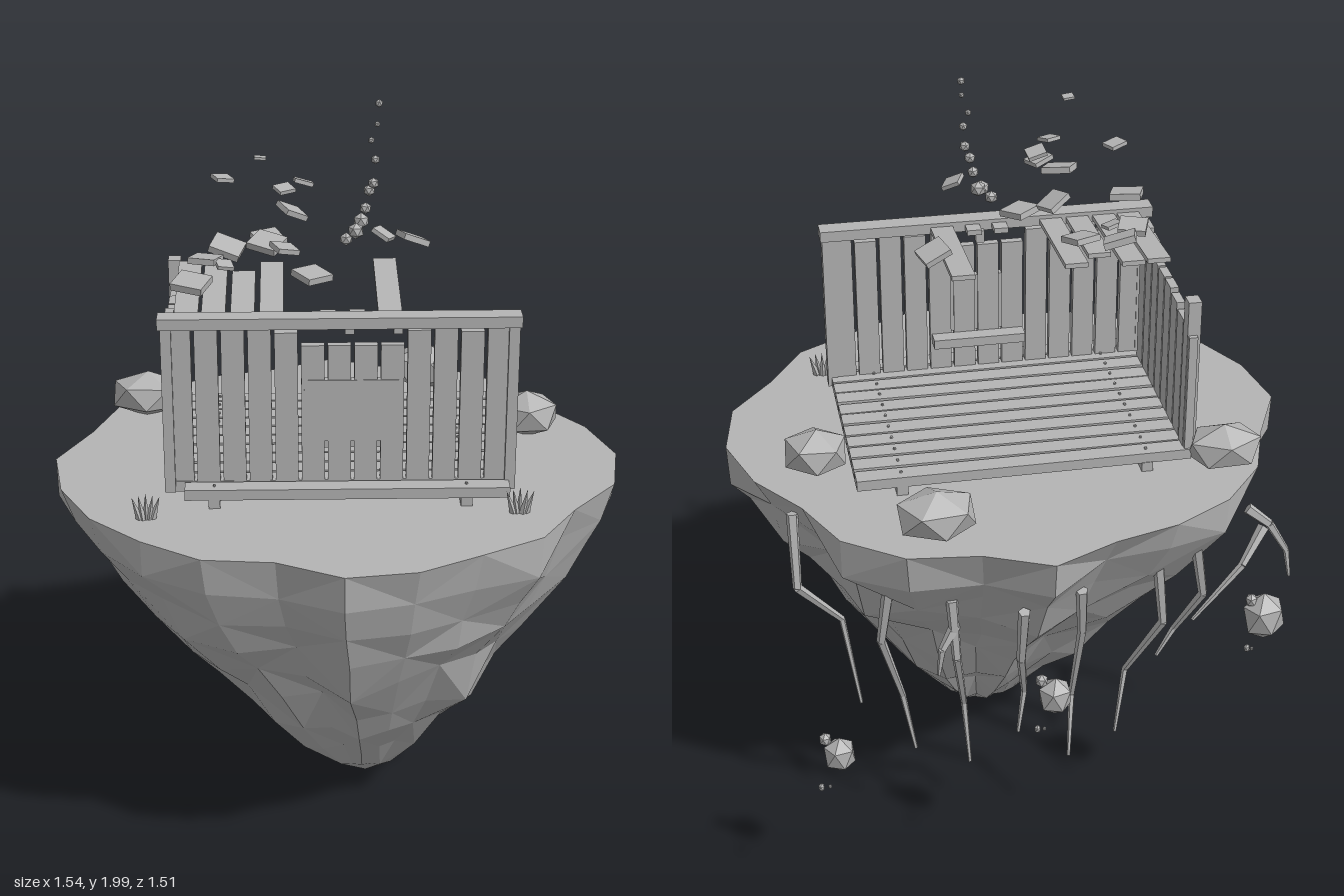
import * as THREE from 'three';

const stone = new THREE.MeshStandardMaterial({ color: 0xb4b4b4, flatShading: true });
stone.name = 'plain grey';

let seed = 7;
const rnd = (a = -1, b = 1) => {
  seed = (seed * 16807) % 2147483647;
  return a + (b - a) * (seed / 2147483647);
};

function add(parent, name, geo, x = 0, y = 0, z = 0, rx = 0, ry = 0, rz = 0) {
  const m = new THREE.Mesh(geo, stone);
  m.name = name;
  m.position.set(x, y, z);
  m.rotation.set(rx, ry, rz);
  parent.add(m);
  return m;
}
// Box given by its minimum and maximum corners
function block(parent, name, x0, x1, y0, y1, z0, z1) {
  return add(parent, name, new THREE.BoxGeometry(x1 - x0, y1 - y0, z1 - z0),
    (x0 + x1) / 2, (y0 + y1) / 2, (z0 + z1) / 2);
}
function group(parent, name) {
  const g = new THREE.Group();
  g.name = name;
  parent.add(g);
  return g;
}

// Island: jagged rings shrinking down to an off-centre tip
function islandGeometry() {
  const rim = [.77, .764, .707, .726, .702, .723, .725, .66, .715, .726, .754, .769,
    .775, .713, .725, .718, .694, .672, .73, .675, .727, .732, .69, .734];
  const n = rim.length;
  // height, scale, centre x, centre z, jitter
  const levels = [
    [.988, 1, 0, .02, 0], [.885, .965, 0, .025, .02], [.79, .89, .005, .035, .025],
    [.68, .8, .015, .05, .03], [.56, .67, .02, .06, .03], [.44, .55, .04, .065, .03],
    [.32, .43, .05, .065, .025], [.2, .287, .06, .07, .018], [.09, .16, .065, .07, .01]];
  const ridge = rim.map((_, i) => (i % 3 === 0 ? .022 : -.011) + rnd(-.01, .01));
  const rings = levels.map(([y, s, cx, cz, j]) => rim.map((r, i) => {
    const a = i / n * Math.PI * 2;
    const q = Math.min(r * s + (j ? ridge[i] * s + rnd() * j * .6 : 0), r - Math.hypot(cx, cz - .02) * .5);
    return [cx + Math.cos(a) * q, y + rnd() * j, cz + Math.sin(a) * q];
  }));
  const pos = [], tip = [.08, .005, .07], top = [0, .988, 0];
  const tri = (a, b, c) => pos.push(...a, ...b, ...c);
  for (let i = 0; i < n; i++) {
    const k = (i + 1) % n;
    tri(top, rings[0][k], rings[0][i]);
    for (let j = 0; j < rings.length - 1; j++) {
      const a = rings[j][i], b = rings[j][k], c = rings[j + 1][i], d = rings[j + 1][k];
      if ((i + j) % 2) { tri(a, b, c); tri(b, d, c); }
      else { tri(a, b, d); tri(a, d, c); }
    }
    tri(rings[rings.length - 1][i], rings[rings.length - 1][k], tip);
  }
  const g = new THREE.BufferGeometry();
  g.setAttribute('position', new THREE.Float32BufferAttribute(pos, 3));
  g.computeVertexNormals();
  return g;
}

function rock(parent, name, x, y, z, sx, sy, sz) {
  add(parent, name, new THREE.IcosahedronGeometry(1, 0).rotateZ(.5).rotateY(rnd(0, 3)).scale(sx, sy, sz), x, y, z);
}

// Root: tapered five-sided segments along a bent path
function root(parent, pts, r) {
  const up = new THREE.Vector3(0, 1, 0), n = pts.length - 1;
  for (let i = 0; i < n; i++) {
    const a = new THREE.Vector3(...pts[i]), b = new THREE.Vector3(...pts[i + 1]);
    const d = a.clone().sub(b);
    const m = add(parent, 'rootSegment', new THREE.CylinderGeometry(r * (1 - i / n * .7), r * (1 - (i + 1) / n * .7), d.length(), 5));
    m.position.copy(a).add(b).multiplyScalar(.5);
    m.quaternion.setFromUnitVectors(up, d.normalize());
  }
}

export function createModel() {
  const model = new THREE.Group();
  model.name = 'floatingIslandRuin';
  add(model, 'island', islandGeometry());

  // Deck on two joists
  const deck = group(model, 'deck');
  for (const x of [-.33, .33]) block(deck, 'joist', x - .015, x + .015, .98, 1.015, -.31, .345);
  for (let i = 0; i < 11; i++) {
    const z = .322 - i * .0605, w = i ? .45 : .425;
    const p = block(deck, 'deckPlank', -w, w, 1.013, 1.042, z - .026, z + .026);
    p.position.x = i ? 0 : .018;
    p.rotation.y = rnd() * .006;
    for (const x of [-.33, .33]) add(deck, 'nail', new THREE.CylinderGeometry(.004, .004, .006, 6), x, 1.044, z);
  }

  // Front wall with a short-boarded middle and a panel set into it
  const front = group(model, 'frontWall');
  block(front, 'topBeam', -.467, .465, 1.47, 1.5, .25, .305);
  for (const s of [-1, 1]) block(front, 'cornerPost', s * .446 - .014, s * .446 + .014, 1.015, 1.485, .262, .3);
  const tops = [1.47, 1.47, 1.465, 1.47, 1.455, 1.42, 1.42, 1.42, 1.42, 1.46, 1.47, 1.455, 1.47];
  tops.forEach((t, i) => {
    const x = -.413 + i * .0685;
    block(front, 'wallBoard', x - .03, x + .03, 1.04, t, .265, .288);
  });
  block(front, 'panel', -.093, .152, 1.155, 1.325, .27, .291);
  block(front, 'innerRail', -.1, .16, 1.125, 1.152, .222, .265);
  for (const x of [.025, .15]) block(front, 'rafterStub', x - .012, x + .012, 1.44, 1.475, .235, .262);

  // Side wall
  const side = group(model, 'sideWall');
  [1.47, 1.46, 1.42, 1.42, 1.42, 1.41, 1.395, 1.375].forEach((t, i) => {
    const z = .208 - i * .0685;
    block(side, 'wallBoard', -.455, -.432, 1.04, t, z - .03, z + .03);
  });
  block(side, 'endPost', -.465, -.43, 1.015, 1.47, -.288, -.245);

  // Remaining roof planks rising gently to the back
  const roof = group(model, 'roof');
  [[-.395, .37], [-.325, .375], [-.25, .3], [-.175, .36], [.13, .38]].forEach(([x, l]) =>
    add(roof, 'roofPlank', new THREE.BoxGeometry(.062, .013, l).translate(0, 0, -l / 2), x, 1.482, .262, .075, 0, 0));
  for (const x of [-.03, .045]) block(roof, 'brokenStub', x - .02, x + .02, 1.475, 1.49, .21, .26);

  // Loose shingles drifting upward: x, y, z, size
  const drift = group(model, 'driftingShingles');
  [[-.38, 1.565, .21, .085], [-.295, 1.565, -.075, .085], [-.35, 1.56, .01, .075],
    [-.3, 1.555, .04, .045], [-.185, 1.585, -.09, .075], [-.07, 1.565, .155, .08],
    [.205, 1.58, -.095, .075], [-.185, 1.665, .19, .08], [-.14, 1.67, .25, .06],
    [-.12, 1.675, -.045, .068], [.115, 1.67, .14, .052], [-.3, 1.79, .035, .048],
    [-.14, 1.785, .115, .045], [-.09, 1.78, .04, .05], [-.2, 1.88, .16, .03]]
    .forEach(([x, y, z, s]) => add(drift, 'shingle', new THREE.BoxGeometry(s, s * .22, s * .95),
      x, y, z, rnd() * .3, rnd() * .7, -.25 + rnd() * .3));

  // Rising trail of chips
  const trail = group(model, 'risingChips');
  [[.02, 1.64, .09, .018], [.045, 1.665, .1, .022], [.06, 1.68, .06, .022], [.07, 1.72, .08, .016],
    [.08, 1.765, .07, .016], [.09, 1.79, .09, .015], [.095, 1.85, .08, .012], [.085, 1.895, .06, .009],
    [.1, 1.94, .07, .008], [.105, 1.988, .045, .011]]
    .forEach(([x, y, z, r]) => rock(trail, 'chip', x, y, z, r, r, r));

  // Boulders on the ground
  rock(model, 'boulder', .54, 1.045, -.14, .094, .068, .085);
  rock(model, 'boulder', .27, 1.045, -.505, .114, .07, .09);
  rock(model, 'boulder', -.54, 1.045, -.31, .112, .068, .08);

  // Floating rocks with crumbs around them
  const floating = group(model, 'floatingRocks');
  [[.56, .445, -.67, .045], [-.565, .73, -.66, .06], [0, .585, -.71, .048]].forEach(([x, y, z, r]) => {
    rock(floating, 'floatingRock', x, y, z, r, r * 1.2, r * .85);
    rock(floating, 'crumb', x + .035, y + .05, z + .005, .017, .02, .017);
    rock(floating, 'crumb', x + .055, y - .065, z - .045, .009, .013, .009);
    rock(floating, 'crumb', x + .03, y - .095, z - .01, .005, .007, .005);
  });

  // Grass tufts
  for (const [x, z] of [[-.505, .405], [.465, .388]]) {
    const tuft = group(model, 'grassTuft');
    for (let i = 0; i < 5; i++)
      add(tuft, 'blade', new THREE.ConeGeometry(.011, .08 - Math.abs(i - 2) * .008, 4), x + (i - 2) * .013, 1.02, z + rnd() * .006, 0, 0, (2 - i) * .16);
  }

  // Hanging roots around the back
  const roots = group(model, 'roots');
  [[[.62, .94, -.27], [.62, .73, -.31], [.5, .575, -.255], [.46, .31, -.29]],
    [[.4, .82, -.5], [.42, .65, -.48], [.36, .42, -.42], [.33, .25, -.44]],
    [[.24, .8, -.54], [.23, .62, -.55], [.2, .41, -.47], [.19, .23, -.5]],
    [[.06, .78, -.6], [.06, .6, -.56], [.04, .45, -.5], [.06, .33, -.52]],
    [[-.1, .8, -.56], [-.11, .65, -.53], [-.1, .39, -.46], [-.08, .23, -.525]],
    [[-.33, .8, -.46], [-.35, .6, -.46], [-.27, .39, -.375], [-.235, .21, -.42]],
    [[-.44, .82, -.44], [-.47, .65, -.42], [-.41, .5, -.36], [-.36, .42, -.37]],
    [[-.62, .83, -.3], [-.68, .785, -.32], [-.73, .7, -.33], [-.74, .62, -.34]],
    [[-.66, .785, -.33], [-.59, .7, -.38], [-.45, .55, -.4]],
    [[.23, .72, -.54], [.27, .66, -.56], [.28, .58, -.56]]]
    .forEach(p => root(roots, p, .017));

  return model;
}
